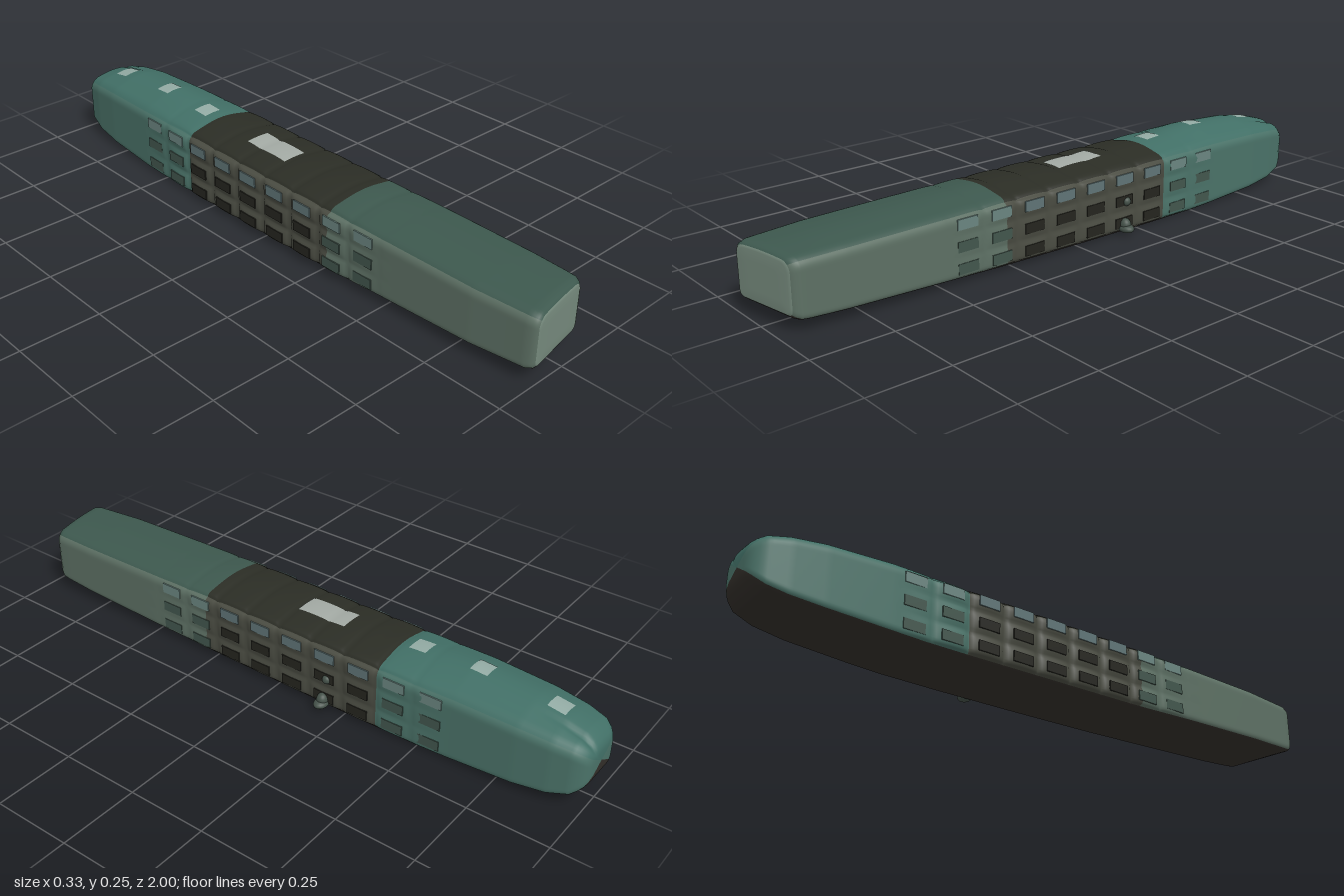
import * as THREE from 'three';

// Stations along the hull: z, left x, right x, underside y, eaves y, roof crown height
const STATIONS = [
  [1.00, -.118, .108, .047, .204, .004],
  [0.97, -.128, .118, .038, .209, .006],
  [0.80, -.143, .124, .030, .212, .010],
  [0.50, -.148, .125, .020, .215, .012],
  [0.30, -.152, .123, .012, .215, .016],
  [0.00, -.154, .123, .006, .215, .014],
  [-0.30, -.153, .122, .002, .215, .018],
  [-0.50, -.150, .118, .000, .215, .030],
  [-0.60, -.149, .114, .002, .215, .037],
  [-0.80, -.140, .110, .012, .210, .030],
  [-0.90, -.130, .101, .022, .202, .022],
  [-0.96, -.117, .088, .038, .192, .014],
  [-0.985, -.100, .074, .058, .180, .009],
  [-1.00, -.075, .055, .080, .165, .004],
];
const N = 28;        // divisions per side of the cross-section
const BAY = 0.12;    // length of one window bay
const clamp = THREE.MathUtils.clamp, smooth = THREE.MathUtils.smoothstep;

function station(z) {
  let k = 0;
  while (k < STATIONS.length - 2 && z < STATIONS[k + 1][0]) k++;
  const a = STATIONS[k], b = STATIONS[k + 1];
  const t = clamp((a[0] - z) / (a[0] - b[0]), 0, 1);
  return a.map((v, i) => v + (b[i] - v) * t);
}

// Pillow pattern: 1 inside each cell, 0 in the groove between cells
const pillow = t => Math.pow(Math.abs(Math.sin(Math.PI * t)), 0.4);
const midAmount = z => smooth(z, -.62, -.3) * (1 - smooth(z, .2, .55));

// Surface point for section coordinates u, v in [-1, 1] on the unit square outline
function surface(u, v, z) {
  const [, xl, xr, yb, yt, crown] = station(z);
  const hw = (xr - xl) / 2, hh = (yt - yb) / 2, r = v > 0 ? .032 : .018;
  let x = u * hw, y = v * hh;
  const ix = clamp(x, r - hw, hw - r), iy = clamp(y, r - hh, hh - r);
  const d = Math.hypot(x - ix, y - iy);
  if (d > 0) { x = ix + (x - ix) / d * r; y = iy + (y - iy) / d * r; }
  x += (xl + xr) / 2;
  y += (yb + yt) / 2;
  const m = midAmount(z), bay = pillow(z / BAY);
  if (Math.abs(u) > .999) {            // bulging window bays, three storeys
    const puff = bay * pillow((v + 1) * 1.5) * (u < 0 ? .014 : .008) - .005;
    x += Math.sign(u) * puff * m;
  }
  if (v > .999) {                      // crowned roof, ribbed amidships
    y += crown * Math.pow(Math.cos(u * Math.PI / 2), 1.4);
    y += (bay - 1) * .005 * m;
  }
  if (v > -.5) {                       // seam running over the rear end
    const seam = Math.exp(-Math.pow((x - .03) / .009, 2)) * smooth(-z, .8, .97);
    y -= .009 * seam * (v + .5) / 1.5;
  }
  // slightly skewed front face
  return new THREE.Vector3(x, y, z - .17 * (x + .118) * smooth(z, .9, 1));
}

function outline(i) {
  const side = Math.floor(i / N), t = (i % N) / N * 2 - 1;
  return [[1, t], [-t, 1], [-1, -t], [t, -1]][side];
}

export function createModel() {
  const model = new THREE.Group();
  const material = (color, rough = .8) => new THREE.MeshStandardMaterial({ color });
  const add = (name, geo, color, parent = model) => {
    const mesh = new THREE.Mesh(geo, material(color));
    mesh.name = name;
    parent.add(mesh);
    return mesh;
  };

  // Rings: [z, shrink toward the middle, z push]
  const rings = [[1, 0, 0], [1, .5, 0], [1, .88, 0], [1, .96, -.003]];
  for (let k = 0; k <= 196; k++) rings.push([.99 - k * .01, 1, 0]);
  rings.push([-.98, 1, 0], [-.99, 1, 0], [-.997, .97, 0], [-1, .7, 0], [-1, 0, 0]);
  const M = N * 4, pos = [];
  for (const [z, s, push] of rings) {
    const [, xl, xr, yb, yt] = station(z);
    const cx = (xl + xr) / 2, cy = (yb + yt) / 2;
    const cz = z - .17 * (cx + .118) * smooth(z, .9, 1);
    for (let i = 0; i < M; i++) {
      const p = surface(...outline(i), z);
      pos.push(cx + (p.x - cx) * s, cy + (p.y - cy) * s, cz + (p.z - cz) * s + push);
    }
  }

  // Faces sorted into coloured zones that share one set of smooth normals
  const zones = {
    frontEnd: 0x75897c, frontRoof: 0x3d584e, frontWalls: 0x5d7064,
    middleRoof: 0x2b2d25, middleWalls: 0x4a4c42,
    rearRoof: 0x416f66, rearWalls: 0x4a7268, underside: 0x332f2a,
  };
  const faces = {}, all = [];
  for (let j = 0; j < rings.length - 1; j++) {
    const z = rings[j][0];
    const part = z > .28 ? 'front' : z > -.36 ? 'middle' : 'rear';
    for (let i = 0; i < M; i++) {
      const a = j * M + i, b = j * M + (i + 1) % M, c = a + M, d = b + M;
      const side = Math.floor(i / N);
      let name = part + (side === 1 ? 'Roof' : 'Walls');
      if (j < 3) name = 'frontEnd';
      else if (side === 3) name = 'underside';
      (faces[name] ??= []).push(a, c, b, b, c, d);
      all.push(a, c, b, b, c, d);
    }
  }
  const hull = new THREE.BufferGeometry();
  hull.setAttribute('position', new THREE.Float32BufferAttribute(pos, 3));
  hull.setIndex(all);
  hull.computeVertexNormals();
  for (const name in zones) {
    const geo = new THREE.BufferGeometry();
    geo.setAttribute('position', hull.attributes.position);
    geo.setAttribute('normal', hull.attributes.normal);
    geo.setIndex(faces[name]);
    add(name, geo, zones[name]);
  }

  // Window panes on both sides, dark amidships and paler toward the ends
  const windows = new THREE.Group();
  windows.name = 'windows';
  model.add(windows);
  const pane = new THREE.BoxGeometry(.004, .032, .07);
  for (const side of [-1, 1]) for (let b = -5; b <= 3; b++) for (let s = 0; s < 3; s++) {
    const z = (b + .5) * BAY, p = surface(side, (s + .5) / 1.5 - 1, z);
    const dark = b >= -3 && b <= 1;
    const color = s === 2 ? (dark ? 0x5f7476 : 0x6a8580) : (dark ? 0x25251f : 0x42564d);
    add('window', pane, color, windows).position.set(p.x - side * .0008, p.y, z);
  }

  // Skylight and pale roof patches laid on the crown
  const roofPatch = (name, x, z, w, l, color) => {
    const g = new THREE.PlaneGeometry(w, l, 6, 12).rotateX(-Math.PI / 2);
    const q = g.attributes.position;
    for (let i = 0; i < q.count; i++) {
      const [, xl, xr] = station(z + q.getZ(i));
      const u = (x + q.getX(i) - (xl + xr) / 2) / ((xr - xl) / 2);
      const p = surface(u, 1, z + q.getZ(i));
      q.setXYZ(i, p.x, p.y + .0015, p.z);
    }
    g.computeVertexNormals();
    add(name, g, color).material.side = THREE.DoubleSide;
  };
  roofPatch('skylight', -.02, -.09, .08, .17, 0xa3aaa4);
  for (const z of [-.86, -.62, -.42]) roofPatch('roofPatch', -.025, z, .06, .055, 0x93aba4);

  // Small outgrowths on the left wall
  const lump = (x, y, z, sx, sy, sz) => {
    const m = add('wallLump', new THREE.SphereGeometry(1, 20, 14), 0x45524a);
    m.position.set(x, y, z);
    m.scale.set(sx, sy, sz);
  };
  lump(.135, .022, -.18, .029, .014, .022);
  lump(.13, .032, -.18, .02, .022, .018);
  lump(.125, .105, -.19, .012, .014, .014);
  return model;
}
